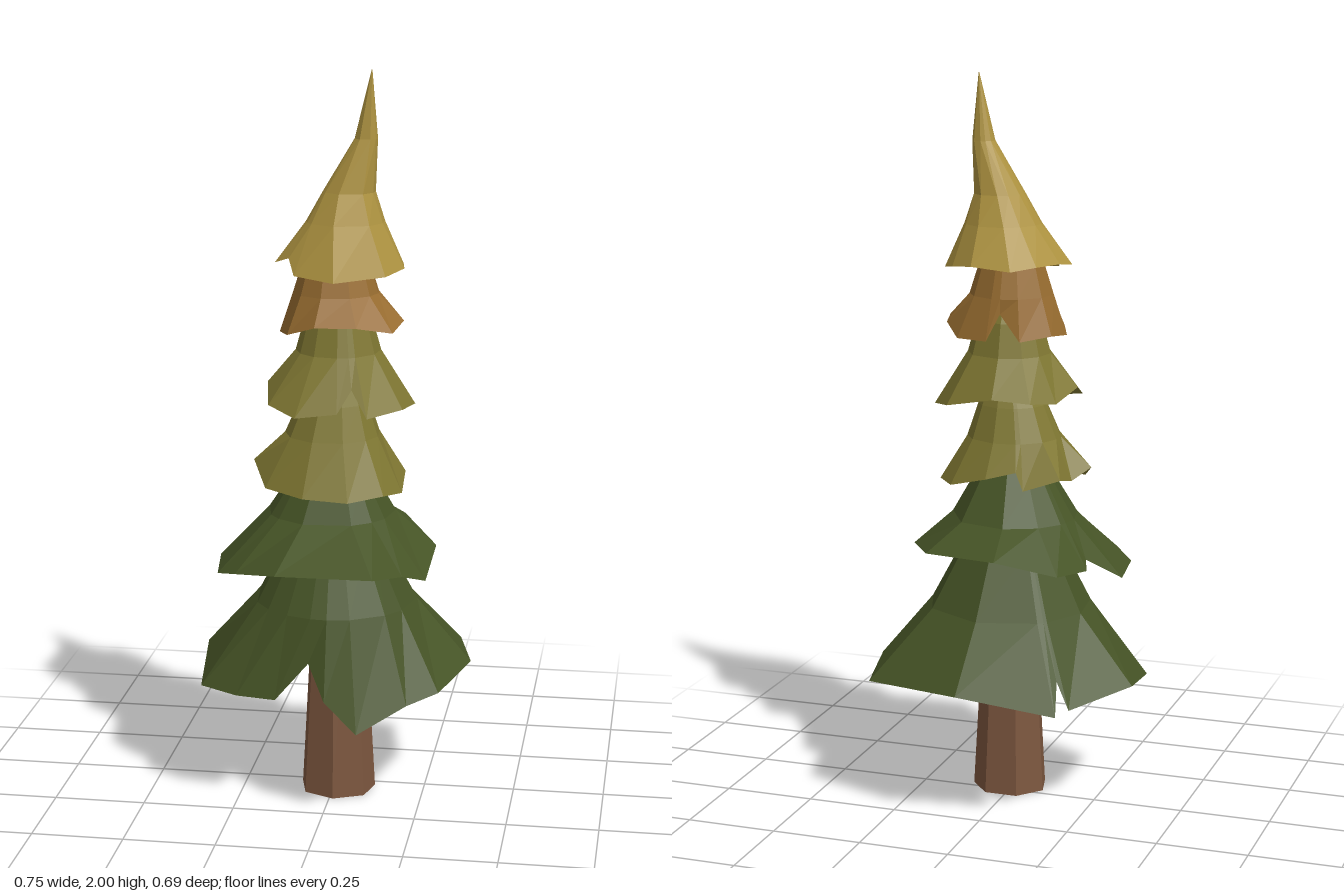
import * as THREE from 'three';

const mat = (name, color, side = THREE.DoubleSide) =>
  Object.assign(new THREE.MeshStandardMaterial({ color, side, flatShading: true }), { name });

// Faceted skirt: a ragged rim [x, y, z] lofted through round rings [cx, y, cz, radius, twist].
function skirt(rim, rings) {
  const n = rim.length;
  const [cx, , cz] = rings[0];
  const angles = rim.map(([x, , z]) => Math.atan2(z - cz, x - cx));
  const rows = [rim];
  for (const [x, y, z, r, twist = 0] of rings) {
    rows.push(angles.map(a => [x + r * Math.cos(a + twist), y, z + r * Math.sin(a + twist)]));
  }
  const index = [];
  for (let k = 0; k < rows.length - 1; k++) {
    for (let i = 0; i < n; i++) {
      const j = (i + 1) % n;
      const a = k * n + i, b = k * n + j;
      index.push(a, a + n, b, b, a + n, b + n);
    }
  }
  const geo = new THREE.BufferGeometry();
  geo.setAttribute('position', new THREE.Float32BufferAttribute(rows.flat(2), 3));
  geo.setIndex(index);
  const flat = geo.toNonIndexed();
  flat.computeVertexNormals();
  return flat;
}

export function createModel() {
  const tree = new THREE.Group();
  tree.name = 'fallTree';
  const bark = mat('bark brown', 0x7d573f, THREE.FrontSide);
  const green = mat('dark green', 0x465426);
  const olive = mat('olive', 0x7f7732);
  const orange = mat('orange brown', 0x976c30);
  const yellow = mat('yellow', 0xae9340);

  const add = (name, geo, material) => {
    const m = new THREE.Mesh(geo, material);
    m.name = name;
    tree.add(m);
  };

  // Trunk, leaning slightly as it tapers
  const trunk = new THREE.CylinderGeometry(0.06, 0.105, 0.8, 7);
  trunk.scale(1, 1, 0.93);
  trunk.translate(0.01, 0.4, 0.045);
  add('trunk', trunk, bark);

  // Lowest branches, with a notch at the front and one at the back
  add('lowestBranches', skirt([
    [0.375, 0.37, -0.005], [0.305, 0.34, 0.18], [0.225, 0.32, 0.24], [0.1, 0.26, 0.32],
    [0.01, 0.34, 0.3], [-0.04, 0.43, 0.25], [-0.13, 0.325, 0.26], [-0.24, 0.325, 0.24],
    [-0.35, 0.325, 0.175], [-0.378, 0.37, -0.075], [-0.25, 0.34, -0.24],
    [-0.21, 0.41, -0.22], [-0.225, 0.33, -0.28], [0.035, 0.38, -0.345], [0.325, 0.36, -0.235],
  ], [[0, 0.55, 0.01, 0.225], [0, 0.72, 0.02, 0.135], [0, 0.82, 0.03, 0.05]]), green);

  // Second dark tier, drooping wide
  add('secondBranches', skirt([
    [0.275, 0.7, -0.01], [0.265, 0.65, 0.16], [0.21, 0.68, 0.23], [0.145, 0.7, 0.34],
    [-0.115, 0.7, 0.34], [-0.24, 0.67, 0.24], [-0.3, 0.65, 0.175], [-0.325, 0.65, 0],
    [-0.24, 0.71, -0.06], [-0.255, 0.69, -0.1], [-0.21, 0.7, -0.22],
    [-0.05, 0.74, -0.275], [0.165, 0.73, -0.21],
  ], [[-0.01, 0.8, 0.02, 0.175], [-0.005, 0.9, 0.03, 0.115], [0, 1.0, 0.035, 0.05]]), green);

  // Two olive tiers
  add('thirdBranches', skirt([
    [0.185, 0.9, -0.04], [0.19, 0.87, 0.08], [0.15, 0.88, 0.16], [0.06, 0.87, 0.21],
    [-0.06, 0.88, 0.22], [-0.17, 0.89, 0.16], [-0.22, 0.94, 0.05], [-0.18, 0.91, 0],
    [-0.175, 0.93, -0.09], [-0.08, 0.9, -0.12], [-0.06, 0.95, -0.12],
    [0.02, 0.93, -0.14], [0.13, 0.9, -0.11],
  ], [[-0.005, 1.02, 0.035, 0.13], [0, 1.11, 0.035, 0.095], [0.01, 1.2, 0.035, 0.05]]), olive);
  add('fourthBranches', skirt([
    [0.215, 1.1, 0], [0.195, 1.11, 0.12], [0.11, 1.1, 0.2], [0.065, 1.17, 0.17],
    [0.03, 1.11, 0.2], [-0.08, 1.1, 0.22], [-0.16, 1.12, 0.16], [-0.18, 1.16, 0.05],
    [-0.15, 1.13, -0.05], [-0.1, 1.14, -0.12], [0, 1.15, -0.145], [0.14, 1.12, -0.11],
  ], [[0.01, 1.25, 0.035, 0.115], [0.01, 1.34, 0.035, 0.09], [0.01, 1.41, 0.04, 0.05]]), olive);

  // Narrow orange tier
  add('fifthBranches', skirt([
    [0.175, 1.33, -0.01], [0.19, 1.34, 0.06], [0.17, 1.32, 0.14], [0.08, 1.34, 0.19],
    [-0.03, 1.34, 0.2], [-0.11, 1.31, 0.15], [-0.145, 1.3, 0.06], [-0.13, 1.31, -0.03],
    [-0.06, 1.3, -0.09], [0, 1.37, -0.075], [0.03, 1.3, -0.105], [0.12, 1.3, -0.08],
  ], [[0.005, 1.41, 0.04, 0.115], [0.005, 1.49, 0.04, 0.09], [0.01, 1.56, 0.04, 0.04]]), orange);

  // Yellow crown, twisting up to a bent tip
  add('crown', skirt([
    [0.18, 1.48, -0.01], [0.19, 1.48, 0.06], [0.15, 1.47, 0.14], [0.02, 1.46, 0.2],
    [-0.09, 1.47, 0.16], [-0.11, 1.51, 0.12], [-0.155, 1.49, 0.075], [-0.14, 1.5, 0.01],
    [-0.1, 1.5, -0.07], [-0.04, 1.49, -0.11], [0.07, 1.5, -0.11], [0.14, 1.49, -0.06],
  ], [
    [0.03, 1.6, 0.04, 0.105, 0.1], [0.04, 1.68, 0.04, 0.07, 0.2],
    [0.085, 1.82, 0.04, 0.031, 0.4], [0.1, 2, 0.045, 0.001, 0.5],
  ]), yellow);

  return tree;
}
